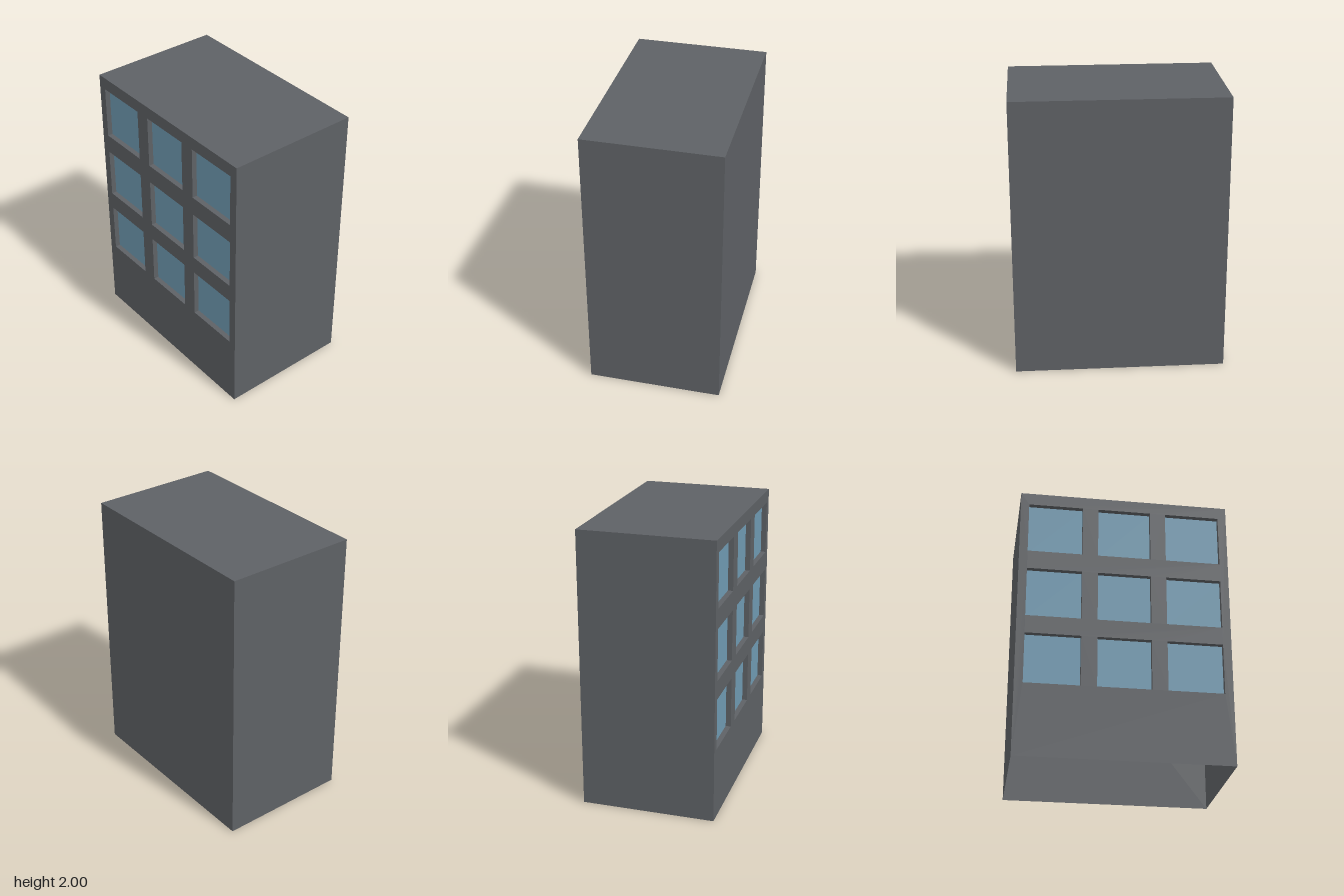
import * as THREE from 'three';

const W = 1.5, H = 2, D = 0.954, RECESS = 0.037;

// Window openings: [low, high] along x and along y
const COLUMNS = [[-0.69, -0.302], [-0.19, 0.187], [0.298, 0.69]];
const ROWS = [[0.519, 0.889], [1.021, 1.39], [1.529, 1.91]];

const wallMaterial = new THREE.MeshStandardMaterial({ color: 0x5e6165, side: THREE.DoubleSide });
const glassMaterial = new THREE.MeshStandardMaterial({ color: 0x6f9ab2, side: THREE.DoubleSide });

// Box keeping only the listed sides (0 +x, 1 -x, 2 +y, 3 -y, 4 +z, 5 -z)
function openBox(w, h, d, sides) {
  const geometry = new THREE.BoxGeometry(w, h, d);
  const index = Array.from(geometry.index.array);
  geometry.setIndex(sides.flatMap((s) => index.slice(s * 6, s * 6 + 6)));
  geometry.clearGroups();
  return geometry;
}

function addMesh(parent, name, geometry, material, x, y, z) {
  const mesh = new THREE.Mesh(geometry, material);
  mesh.name = name;
  mesh.position.set(x, y, z);
  parent.add(mesh);
}

function rectangle(path, x0, x1, y0, y1) {
  path.moveTo(x0, y0);
  path.lineTo(x1, y0);
  path.lineTo(x1, y1);
  path.lineTo(x0, y1);
  path.closePath();
  return path;
}

export function createModel() {
  const building = new THREE.Group();
  building.name = 'building';

  // Thin hollow shell: side walls, back wall and roof, open underneath
  addMesh(building, 'wallsAndRoof', openBox(W, H, D, [0, 1, 2, 5]), wallMaterial, 0, H / 2, 0);

  // Front wall pierced by the windows
  const front = rectangle(new THREE.Shape(), -W / 2, W / 2, 0, H);

  ROWS.forEach(([y0, y1], row) => {
    COLUMNS.forEach(([x0, x1], column) => {
      front.holes.push(rectangle(new THREE.Path(), x0, x1, y0, y1));
      const w = x1 - x0, h = y1 - y0;

      // Recessed window: reveal around the opening and a pane at its back
      const frame = new THREE.Group();
      frame.name = `window${row + 1}_${column + 1}`;
      frame.position.set((x0 + x1) / 2, (y0 + y1) / 2, D / 2);
      addMesh(frame, 'reveal', openBox(w, h, RECESS, [0, 1, 2, 3]), wallMaterial, 0, 0, -RECESS / 2);
      addMesh(frame, 'pane', new THREE.PlaneGeometry(w, h), glassMaterial, 0, 0, -RECESS);
      building.add(frame);
    });
  });

  addMesh(building, 'frontWall', new THREE.ShapeGeometry(front), wallMaterial, 0, 0, D / 2);
  return building;
}
